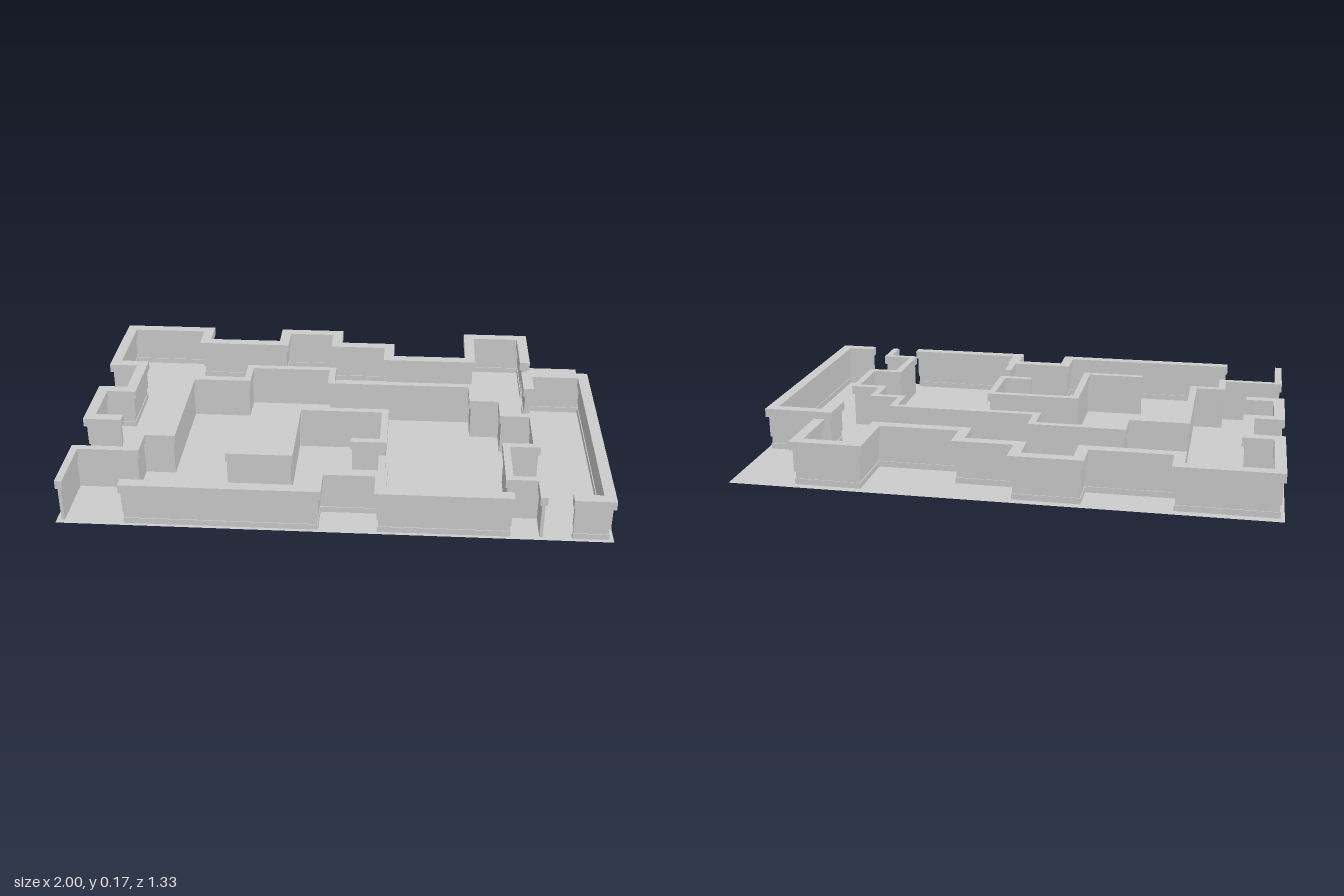
import * as THREE from 'three';

const CELL = 0.1147, X0 = -0.976, Z0 = -0.622;
const material = new THREE.MeshStandardMaterial({ color: 0xcccccc, flatShading: true });

// Each wall is a run of [column, row] corners on the floor grid.
const mouldedWalls = {
  backWall: [[15, 2], [15, 0], [13, 0], [13, 2], [10, 2], [10, 1], [8, 1], [8, 0], [6, 0], [6, 1],
    [3, 1], [3, 0], [0, 0], [0, 3], [1, 3], [1, 5], [0, 5], [0, 7], [1, 7]],
  leftWall: [[15, 4], [15, 3], [17, 3], [17, 11], [16, 11]],
  frontWall: [[2, 11], [8, 11], [8, 10], [10, 10], [10, 11], [14, 11]],
};
const plainWalls = {
  corridorWall: [[0, 11], [0, 9], [2, 9], [2, 8], [3, 8], [3, 4], [5, 4], [5, 3], [8, 3], [8, 4],
    [13, 4], [13, 5], [14, 5], [14, 6], [15, 6], [15, 8], [14, 8], [14, 10], [15, 10], [15, 11]],
  centreWall: [[5, 9], [7, 9], [7, 6], [10, 6], [10, 8], [9, 8]],
  stubWall: [[10, 10], [10, 9]],
};

// Layers: [name, half width, bottom, top]
const mouldedLayers = [
  ['plinth', 0.0095, 0, 0.022],
  ['recess', 0.006, 0.022, 0.05],
  ['panel', 0.011, 0.05, 0.134],
  ['coping', 0.021, 0.134, 0.168],
];
const plainLayers = [
  ['panel', 0.006, 0, 0.134],
  ['coping', 0.0135, 0.134, 0.168],
];

// Outline of a run thickened by w on both sides, with mitred corners.
function outline(run, w) {
  const pts = run.map(([i, j]) => new THREE.Vector2(X0 + i * CELL, -(Z0 + j * CELL)));
  const dirs = pts.slice(1).map((p, i) => p.clone().sub(pts[i]).normalize());
  const last = pts.length - 1;
  pts[0].addScaledVector(dirs[0], -0.6 * w);
  pts[last].addScaledVector(dirs[last - 1], 0.6 * w);
  const normal = (d) => new THREE.Vector2(-d.y, d.x);
  const side = (s) => pts.map((p, i) => {
    const n = normal(dirs[Math.min(i, last - 1)]);
    if (i > 0 && i < last) n.add(normal(dirs[i - 1]));
    return p.clone().addScaledVector(n, s * w);
  });
  return new THREE.Shape([...side(-1), ...side(1).reverse()]);
}

function wall(name, run, layers) {
  const group = new THREE.Group();
  group.name = name;
  for (const [part, w, y0, y1] of layers) {
    const geo = new THREE.ExtrudeGeometry(outline(run, w), { depth: y1 - y0, bevelEnabled: false });
    geo.rotateX(-Math.PI / 2).translate(0, y0, 0);
    const mesh = new THREE.Mesh(geo, material);
    mesh.name = part;
    group.add(mesh);
  }
  return group;
}

export function createModel() {
  const model = new THREE.Group();
  model.name = 'mazeFloorPlan';

  // Thin floor sheet
  const floorMaterial = material.clone();
  floorMaterial.side = THREE.DoubleSide;
  const floor = new THREE.Mesh(new THREE.PlaneGeometry(2, 1.326).rotateX(-Math.PI / 2), floorMaterial);
  floor.name = 'floor';
  model.add(floor);

  for (const [name, run] of Object.entries(mouldedWalls)) model.add(wall(name, run, mouldedLayers));
  for (const [name, run] of Object.entries(plainWalls)) model.add(wall(name, run, plainLayers));
  return model;
}
